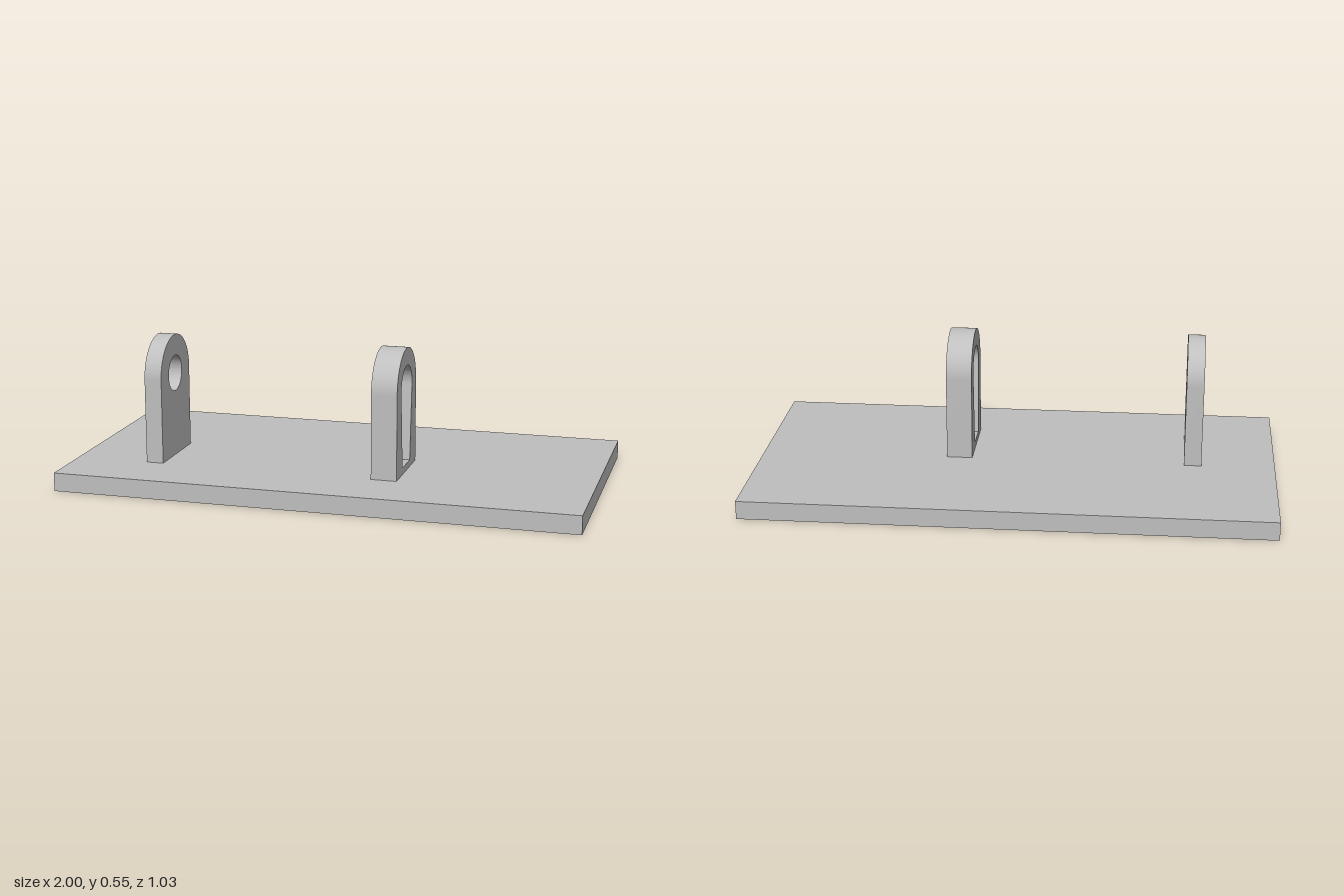
import * as THREE from 'three';
import { toCreasedNormals } from 'three/addons/utils/BufferGeometryUtils.js';

const BASE_H = 0.071;   // plate thickness
const LUG_Z = 0.13;     // lug centre line
const EYE_Y = 0.395;    // height of the arch and hole centres
const LUG_R = 0.152;    // arch radius, half the lug width

// Arched lug outline, drawn around the centre line
function lugOutline() {
  const s = new THREE.Shape();
  s.moveTo(-LUG_R, BASE_H);
  s.lineTo(LUG_R, BASE_H);
  s.lineTo(LUG_R, EYE_Y);
  s.absarc(0, EYE_Y, LUG_R, 0, Math.PI, false);
  s.closePath();
  return s;
}

function roundHole() {
  return new THREE.Path().absarc(0, EYE_Y, 0.07, 0, Math.PI * 2, true);
}

// Slot with a round top, tapering to a narrower flat bottom
function taperedSlot() {
  const r = 0.085, tilt = 0.09;
  const p = new THREE.Path();
  p.moveTo(-0.058, 0.097);
  p.lineTo(0.058, 0.097);
  p.absarc(0, EYE_Y, r, -tilt, Math.PI + tilt, false);
  p.closePath();
  return p;
}

// Lug extruded across x between two positions
function makeLug(name, hole, xMin, xMax, material) {
  const shape = lugOutline();
  shape.holes.push(hole);
  const geometry = new THREE.ExtrudeGeometry(shape, {
    depth: xMax - xMin, bevelEnabled: false, curveSegments: 40,
  });
  geometry.rotateY(-Math.PI / 2);
  geometry.translate(xMax, 0, LUG_Z);
  const mesh = new THREE.Mesh(toCreasedNormals(geometry, 0.5), material);
  mesh.name = name;
  return mesh;
}

export function createModel() {
  const model = new THREE.Group();
  model.name = 'bracketPlate';
  const grey = new THREE.MeshStandardMaterial({ color: 0xbfbfbf });
  grey.name = 'plain grey';

  // Flat base plate
  const base = new THREE.Mesh(new THREE.BoxGeometry(2, BASE_H, 1.034), grey);
  base.name = 'basePlate';
  base.position.y = BASE_H / 2;
  model.add(base);

  // Thin lug with a round hole, thicker lug with a slot
  model.add(makeLug('roundHoleLug', roundHole(), -0.717, -0.65, grey));
  model.add(makeLug('slottedLug', taperedSlot(), 0.176, 0.275, grey));
  return model;
}
